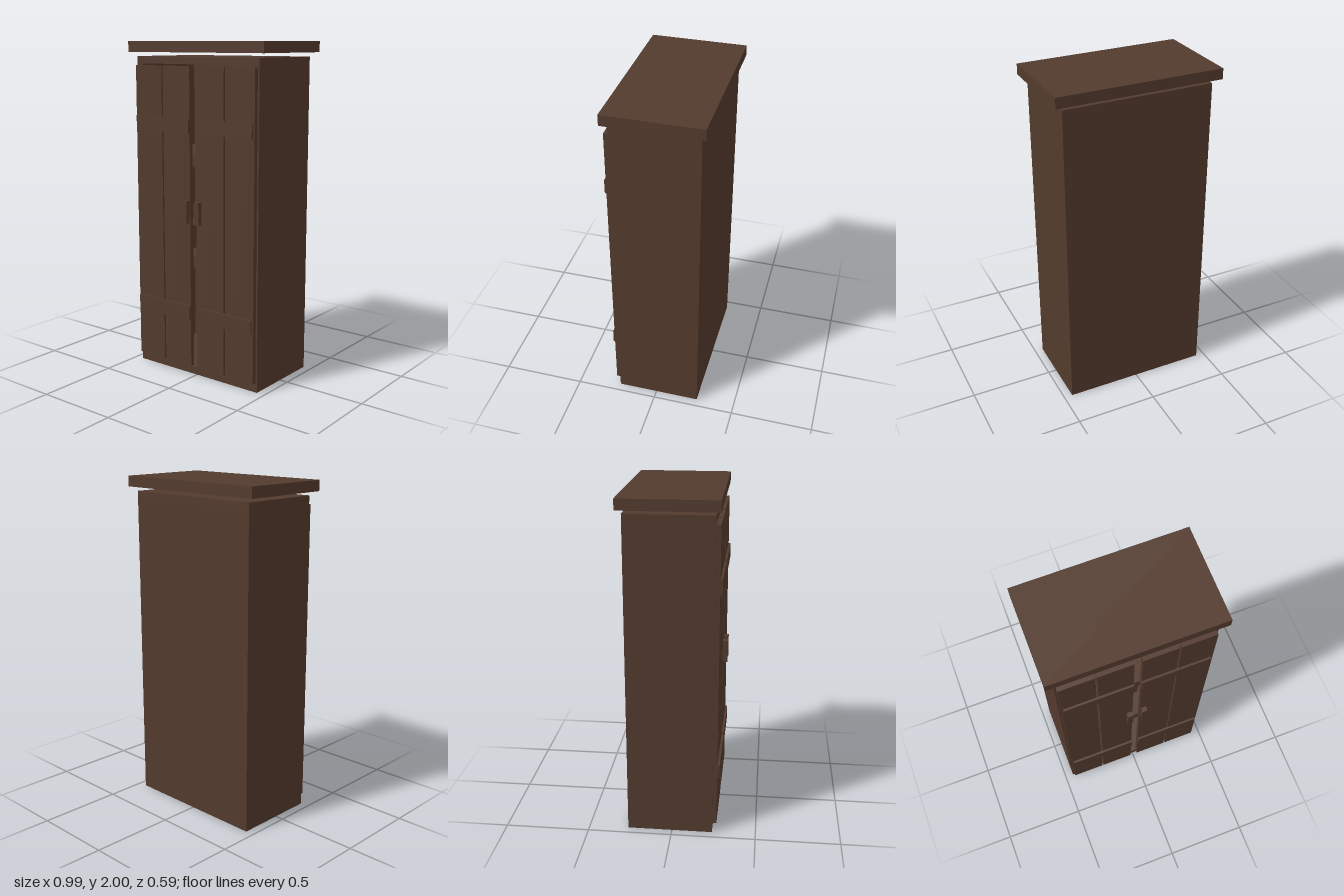
import * as THREE from 'three';

export function createModel() {
  const group = new THREE.Group();
  const wood = new THREE.MeshStandardMaterial({ color: 0x533a2d });
  wood.name = 'dark brown wood';

  // Box given by its extents on each axis
  const box = (name, [x0, x1], [y0, y1], [z0, z1], parent = group) => {
    const mesh = new THREE.Mesh(new THREE.BoxGeometry(x1 - x0, y1 - y0, z1 - z0), wood);
    mesh.position.set((x0 + x1) / 2, (y0 + y1) / 2, (z0 + z1) / 2);
    mesh.name = name;
    parent.add(mesh);
  };

  // Hollow carcass
  const depth = [-0.265, 0.24];
  box('leftSide', [0.405, 0.448], [0, 1.912], depth);
  box('rightSide', [-0.448, -0.405], [0, 1.912], depth);
  box('floorPanel', [-0.405, 0.405], [0, 0.045], depth);
  box('ceilingPanel', [-0.405, 0.405], [1.87, 1.912], depth);
  box('backPanel', [-0.405, 0.405], [0.045, 1.87], [-0.265, -0.24]);

  // Cornice, raised slightly clear of the carcass
  box('cornice', [-0.495, 0.495], [1.937, 2], [-0.295, 0.268]);

  // Shelves with a front rail under each
  for (const y of [0.7, 1.315]) {
    box('shelf', [-0.405, 0.405], [y, y + 0.027], [-0.24, 0.19]);
    box('shelfRail', [-0.405, 0.405], [y - 0.042, y], [0.16, 0.19]);
  }

  // Stored boxes on the shelves
  box('storedBox', [-0.34, -0.19], [0.727, 0.875], [-0.15, 0.05]);
  box('storedBox', [-0.02, 0.1], [0.727, 0.89], [-0.15, 0.05]);
  box('storedBox', [0.18, 0.33], [0.727, 0.905], [-0.15, 0.05]);
  box('storedBox', [-0.1, 0.1], [1.342, 1.515], [-0.15, 0.05]);

  // Two plank doors with battens and a handle
  for (const side of [1, -1]) {
    const door = new THREE.Group();
    door.name = side > 0 ? 'leftDoor' : 'rightDoor';
    group.add(door);
    const span = (a, b) => (side > 0 ? [a, b] : [-b, -a]);
    box('innerPlank', span(0.023, 0.225), [0.058, 1.86], [0.24, 0.266], door);
    box('outerPlank', span(0.235, 0.437), [0.058, 1.86], [0.24, 0.266], door);
    for (const y of [0.354, 1.476]) {
      box('batten', span(0.023, 0.427), [y, y + 0.086], [0.264, 0.279], door);
    }
    box('handle', span(0.028, 0.062), [0.948, 1.082], [0.264, 0.295], door);
  }
  return group;
}
